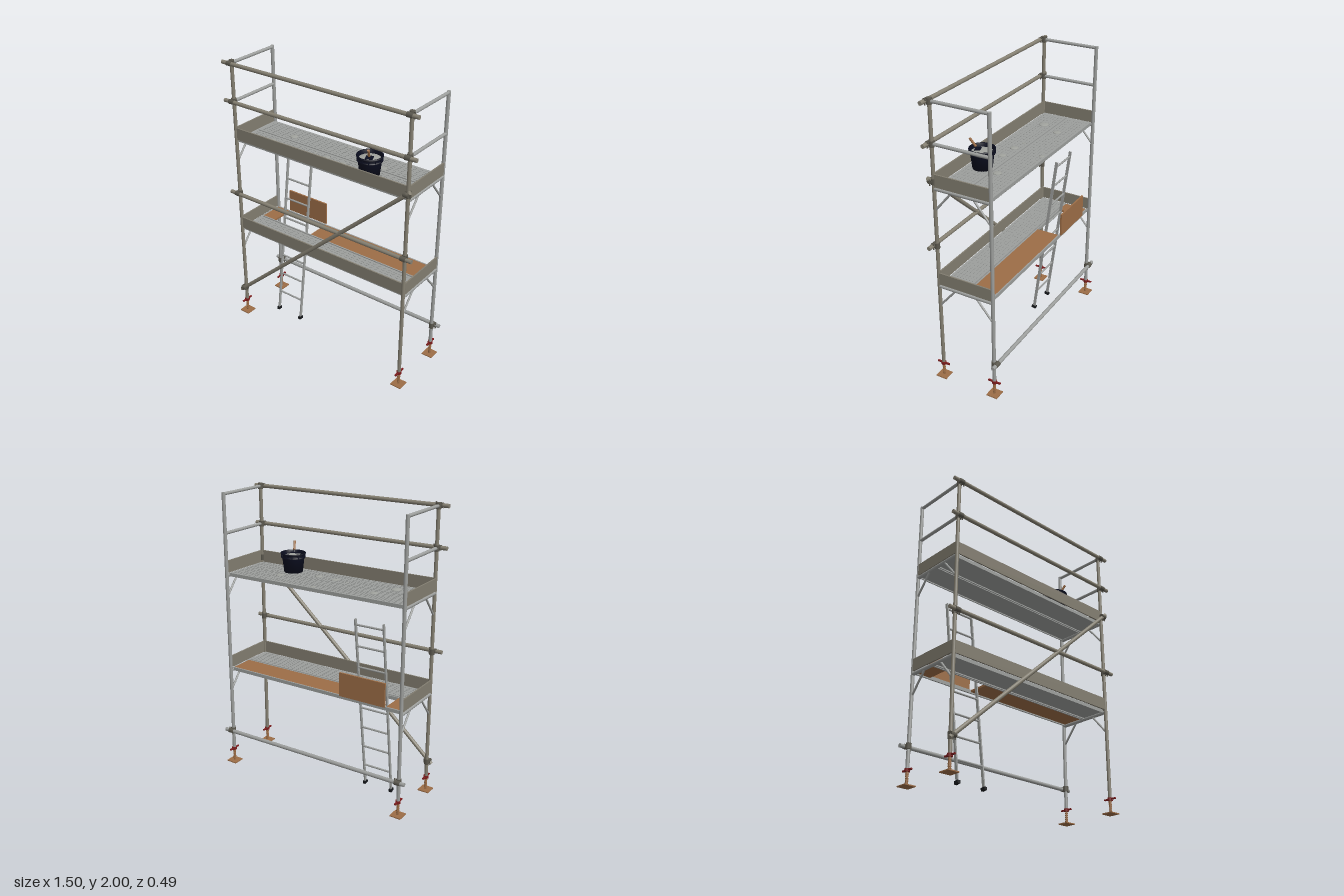
import * as THREE from 'three';
import { mergeGeometries } from 'three/addons/utils/BufferGeometryUtils.js';

const mat = (name, color, side = THREE.FrontSide) => {
  const m = new THREE.MeshStandardMaterial({ color, side });
  m.name = name;
  return m;
};

export function createModel() {
  const steel = mat('galvanised steel', 0x9c9e9c);
  const weathered = mat('weathered steel', 0x858072);
  const toe = mat('toe board', 0x827d70);
  const clamp = mat('clamp', 0x5c594f);
  const wood = mat('plywood', 0x9c6d46);
  const red = mat('red nut', 0x7d1c1c);
  const black = mat('rubber', 0x15171a);
  const navy = mat('bucket plastic', 0x0b0e20, THREE.DoubleSide);
  const mortar = mat('mortar', 0xa0a29d);

  const model = new THREE.Group();
  const V = (x, y, z) => new THREE.Vector3(x, y, z);
  const add = (name, geo, material, parent = model) => {
    const m = new THREE.Mesh(geo, material);
    m.name = name;
    parent.add(m);
    return m;
  };
  const box = (name, material, w, h, d, x, y, z, parent) => {
    const m = add(name, new THREE.BoxGeometry(w, h, d), material, parent);
    m.position.set(x, y, z);
    return m;
  };
  // Round tube between two points
  const tube = (name, material, a, b, r, parent, sides = 14) => {
    const dir = b.clone().sub(a);
    const m = add(name, new THREE.CylinderGeometry(r, r, dir.length(), sides), material, parent);
    m.position.copy(a).add(b).multiplyScalar(0.5);
    m.quaternion.setFromUnitVectors(V(0, 1, 0), dir.normalize());
    return m;
  };

  const X = 0.69, Z = 0.2, R = 0.0125;

  // Posts with screw jacks and base plates
  for (const x of [-X, X]) for (const z of [-Z, Z]) {
    tube('post', z > 0 ? weathered : steel, V(x, 0.1, z), V(x, 1.99, z), R);
    const jack = new THREE.Group();
    jack.name = 'baseJack';
    jack.position.set(x, 0, z);
    model.add(jack);
    box('basePlate', wood, 0.08, 0.007, 0.08, 0, 0.0035, 0, jack);
    tube('jackScrew', wood, V(0, 0, 0), V(0, 0.1, 0), 0.008, jack);
    for (let i = 0; i < 5; i++) {
      const y = 0.02 + i * 0.014;
      tube('screwThread', wood, V(0, y, 0), V(0, y + 0.006, 0), 0.0105, jack);
    }
    tube('jackNut', red, V(0, 0.092, 0), V(0, 0.112, 0), 0.018, jack, 8);
    box('nutHandle', red, 0.012, 0.009, 0.092, 0, 0.103, 0, jack);
  }

  // End frames: cross rails, transoms and corner struts
  for (const x of [-X, X]) {
    for (const y of [1.98, 1.715]) tube('endRail', steel, V(x, y, -Z), V(x, y, Z), 0.011);
    for (const y of [0.725, 1.423]) {
      tube('transom', steel, V(x, y, -Z), V(x, y, Z), 0.0125);
      for (const s of [-1, 1])
        tube('cornerStrut', steel, V(x, y - 0.15, s * Z), V(x, y, s * 0.075), 0.007);
    }
  }

  // Long rails, diagonal brace and their clamps
  const addClamp = (x, y, s) => {
    const g = new THREE.Group();
    g.name = 'clamp';
    model.add(g);
    tube('postSleeve', clamp, V(x, y - 0.02, s * Z), V(x, y + 0.02, s * Z), 0.018, g, 8);
    tube('railSleeve', clamp, V(x - 0.02, y, s * 0.221), V(x + 0.02, y, s * 0.221), 0.0175, g, 8);
    tube('clampBolt', clamp, V(x + 0.024, y - 0.022, s * 0.213), V(x + 0.024, y + 0.022, s * 0.213), 0.005, g, 6);
  };
  const rail = (y, s, half, material) => {
    tube('longRail', material, V(-half, y, s * 0.221), V(half, y, s * 0.221), 0.0135);
    for (const x of [-X, X]) addClamp(x, y, s);
  };
  for (const y of [1.98, 1.715, 1.025]) rail(y, 1, 0.752, weathered);
  rail(0.252, -1, 0.742, steel);
  tube('diagonalBrace', weathered, V(-0.715, 0.197, 0.222), V(0.715, 1.495, 0.222), 0.0135);
  addClamp(-X, 0.22, 1);
  addClamp(X, 1.472, 1);

  // Metal plank with raised grip pattern
  const plank = (top, z) => {
    box('plank', steel, 1.35, 0.016, 0.18, 0, top - 0.008, z);
    for (const s of [-1, 1]) box('plankLip', steel, 1.35, 0.024, 0.008, 0, top - 0.012, z + s * 0.088);
    const studs = [];
    for (let r = 0; r < 7; r++) for (let i = 0; i < 32; i++)
      studs.push(new THREE.BoxGeometry(0.024, 0.003, 0.006)
        .translate(-0.64 + i * 0.0413, top + 0.001, z - 0.069 + r * 0.023));
    add('gripStuds', mergeGeometries(studs), steel);
  };
  const LOW = 0.745, HIGH = 1.44;
  plank(HIGH, 0.096);
  plank(HIGH, -0.096);
  plank(LOW, 0.096);

  // Plywood deck with an open hatch
  for (const [a, b] of [[-0.675, -0.57], [-0.23, 0.675]])
    box('plywoodDeck', wood, b - a, 0.014, 0.172, (a + b) / 2, LOW - 0.008, -0.096);
  for (const s of [-1, 1]) box('deckFrame', steel, 1.35, 0.024, 0.01, 0, LOW - 0.012, -0.096 + s * 0.087);
  box('hatchDoor', wood, 0.34, 0.165, 0.012, -0.4, 0.828, -0.197);

  // Toe boards on the front and both ends
  for (const y of [LOW, HIGH]) {
    box('frontToeBoard', toe, 1.385, 0.085, 0.01, 0, y + 0.0395, 0.2);
    for (const s of [-1, 1]) box('endToeBoard', toe, 0.01, 0.085, 0.395, s * 0.695, y + 0.0395, 0);
  }

  // Ladder leaning through the hatch
  const ladder = new THREE.Group();
  ladder.name = 'ladder';
  ladder.position.set(-0.4, 0.008, 0.045);
  ladder.rotation.x = -Math.atan2(0.165, 1.26);
  model.add(ladder);
  for (const x of [-0.104, 0.104]) {
    box('ladderRail', steel, 0.009, 1.27, 0.02, x, 0.635, 0, ladder);
    box('ladderFoot', black, 0.02, 0.02, 0.034, x, 0.006, 0, ladder);
  }
  for (let i = 0; i < 8; i++)
    tube('rung', steel, V(-0.104, 0.152 + i * 0.154, 0), V(0.104, 0.152 + i * 0.154, 0), 0.007, ladder, 10);

  // Mortar splashes on the upper deck
  for (const [x, z, r] of [[-0.4, -0.065, 0.03], [-0.48, 0.08, 0.038], [-0.13, 0.045, 0.014],
    [-0.03, 0.06, 0.03], [0.11, 0.07, 0.028], [0, -0.16, 0.02], [0.35, -0.04, 0.03]]) {
    const m = add('mortarSplash', new THREE.SphereGeometry(r, 9, 6), mortar);
    m.scale.y = 0.22;
    m.position.set(x, HIGH, z);
  }

  // Bucket of mortar with a trowel
  const bucket = new THREE.Group();
  bucket.name = 'bucket';
  bucket.position.set(0.33, HIGH + 0.002, 0.082);
  model.add(bucket);
  const profile = [[0, 0], [0.064, 0], [0.076, 0.1], [0.084, 0.1], [0.084, 0.108], [0.078, 0.108],
    [0.08, 0.126], [0.086, 0.126], [0.086, 0.134], [0.076, 0.134], [0.074, 0.1]];
  add('bucketShell', new THREE.LatheGeometry(profile.map(p => new THREE.Vector2(...p)), 32), navy, bucket);
  for (let i = 0; i < 12; i++) {
    const a = i * Math.PI / 6;
    const rib = box('bucketRib', navy, 0.006, 0.03, 0.008, Math.sin(a) * 0.08, 0.115, Math.cos(a) * 0.08, bucket);
    rib.rotation.y = a;
  }
  const fill = add('mortarFill', new THREE.SphereGeometry(0.075, 24, 6, 0, Math.PI * 2, 0, Math.PI / 2), mortar, bucket);
  fill.scale.y = 0.2;
  fill.position.y = 0.105;
  const blade = box('trowelBlade', navy, 0.05, 0.004, 0.04, 0.012, 0.126, 0.024, bucket);
  blade.rotation.set(0.15, 0.35, 0);
  tube('trowelNeck', navy, V(0.012, 0.126, 0.026), V(0.018, 0.146, 0.036), 0.004, bucket, 8);
  tube('trowelHandle', wood, V(0.017, 0.143, 0.035), V(0.034, 0.197, 0.067), 0.008, bucket, 10);

  return model;
}
